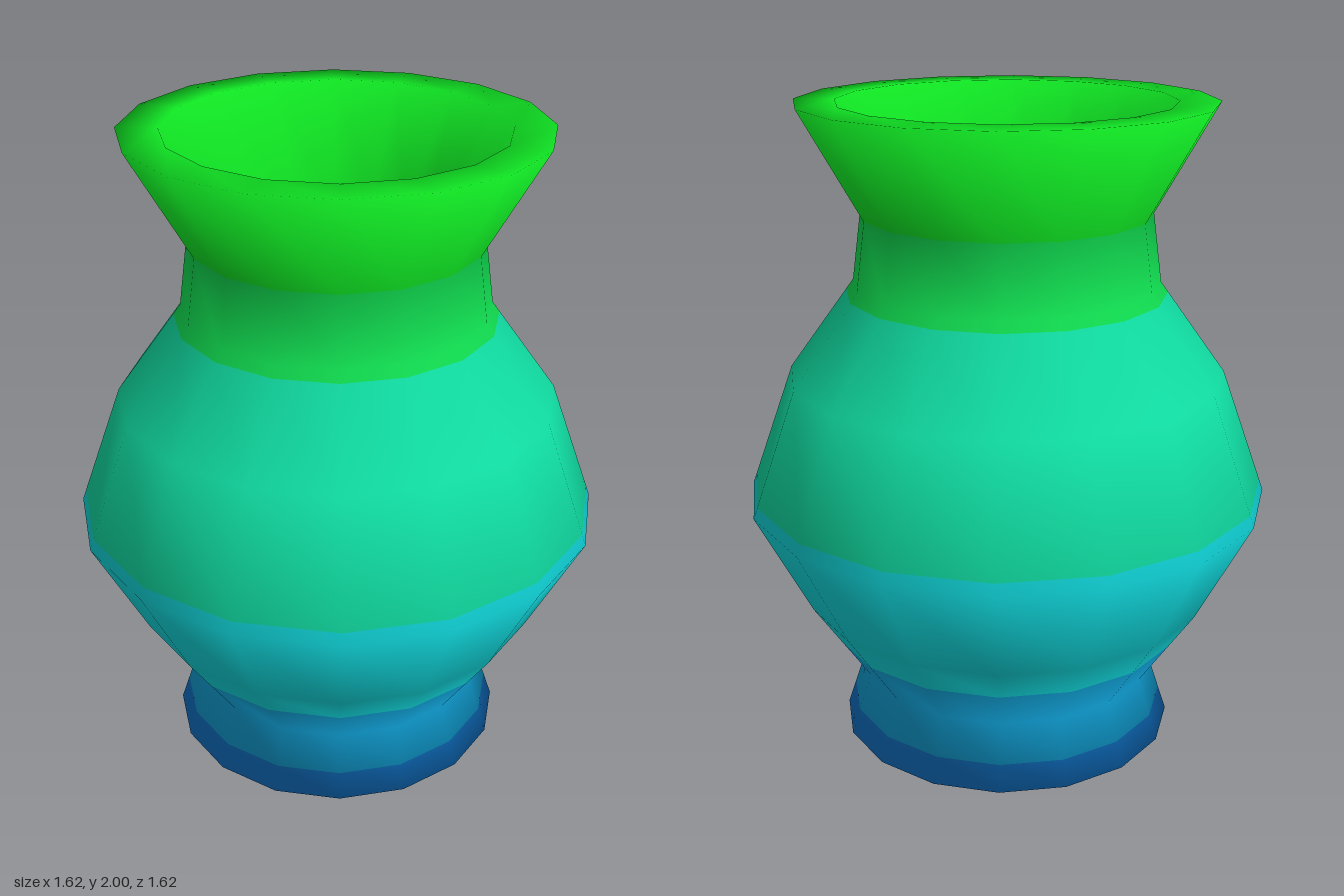
import * as THREE from 'three';

const SIDES = 16;

// Closed section of the vase: underside, outer wall, rim, inner wall, floor
const PROFILE = [
  [0, 0], [0.53, 0], [0.465, 0.2], [0.64, 0.46], [0.81, 0.79], [0.67, 1.18],
  [0.468, 1.46], [0.44, 1.67], [0.627, 2],
  [0.505, 2], [0.3, 1.67], [0.33, 1.43], [0.53, 1.12], [0.65, 0.79],
  [0.5, 0.5], [0.33, 0.2], [0, 0.2],
].map(([r, y]) => new THREE.Vector2(r, y));

// Glaze bands from the foot upwards, each ending at height "top"
const BANDS = [
  { name: 'foot', top: 0.08, color: 0x107cd8, label: 'deep blue' },
  { name: 'lowerWaist', top: 0.345, color: 0x10a8e0, label: 'sky blue' },
  { name: 'lowerBelly', top: 0.825, color: 0x10dce0, label: 'cyan' },
  { name: 'upperBelly', top: 1.43, color: 0x10dfa4, label: 'teal' },
  { name: 'neck', top: 1.67, color: 0x10dd50, label: 'leaf green' },
  { name: 'flaredRim', top: 2.01, color: 0x0fe122, label: 'bright green' },
];

// Smooth normal at each profile point, averaged from its two segments
function profileNormals(points) {
  const faces = points.slice(1).map((p, i) => {
    const d = p.clone().sub(points[i]).normalize();
    return new THREE.Vector2(d.y, -d.x);
  });
  return points.map((_, i) => {
    const n = (faces[i - 1] ?? faces[i]).clone();
    return n.add(faces[i] ?? n).normalize();
  });
}

// Cut the profile at the band heights and collect it into one-colour runs
function splitIntoRuns() {
  const normals = profileNormals(PROFILE);
  const runs = [];
  for (let i = 0; i < PROFILE.length - 1; i++) {
    const a = PROFILE[i], b = PROFILE[i + 1];
    const stops = BANDS.map(({ top }) => (top - a.y) / (b.y - a.y))
      .filter((t) => t > 1e-4 && t < 1 - 1e-4).sort((s, t) => s - t);
    const ts = [0, ...stops, 1];
    const at = (t) => ({
      p: a.clone().lerp(b, t),
      n: normals[i].clone().lerp(normals[i + 1], t).normalize(),
    });
    for (let k = 0; k < ts.length - 1; k++) {
      const midY = a.y + (b.y - a.y) * (ts[k] + ts[k + 1]) / 2;
      const band = BANDS.findIndex(({ top }) => midY < top);
      let run = runs[runs.length - 1];
      if (!run || run.band !== band) {
        run = { band, stations: [at(ts[k])] };
        runs.push(run);
      }
      run.stations.push(at(ts[k + 1]));
    }
  }
  return runs;
}

// Turn a run around the axis, keeping shading continuous between bands
function turn(stations) {
  const geometry = new THREE.LatheGeometry(stations.map((s) => s.p), SIDES);
  const normal = geometry.attributes.normal;
  for (let i = 0; i < normal.count; i++) {
    const phi = Math.floor(i / stations.length) / SIDES * Math.PI * 2;
    const { n } = stations[i % stations.length];
    normal.setXYZ(i, n.x * Math.sin(phi), n.y, n.x * Math.cos(phi));
  }
  return geometry;
}

export function createModel() {
  const vase = new THREE.Group();
  vase.name = 'vase';
  const materials = BANDS.map(({ color, label }) => {
    const material = new THREE.MeshStandardMaterial({ color });
    material.name = label;
    return material;
  });

  // Outer bands come first; repeats of a band belong to the inside
  const seen = new Set();
  for (const { band, stations } of splitIntoRuns()) {
    const mesh = new THREE.Mesh(turn(stations), materials[band]);
    mesh.name = BANDS[band].name + (seen.has(band) ? 'Inside' : '');
    seen.add(band);
    vase.add(mesh);
  }
  return vase;
}
